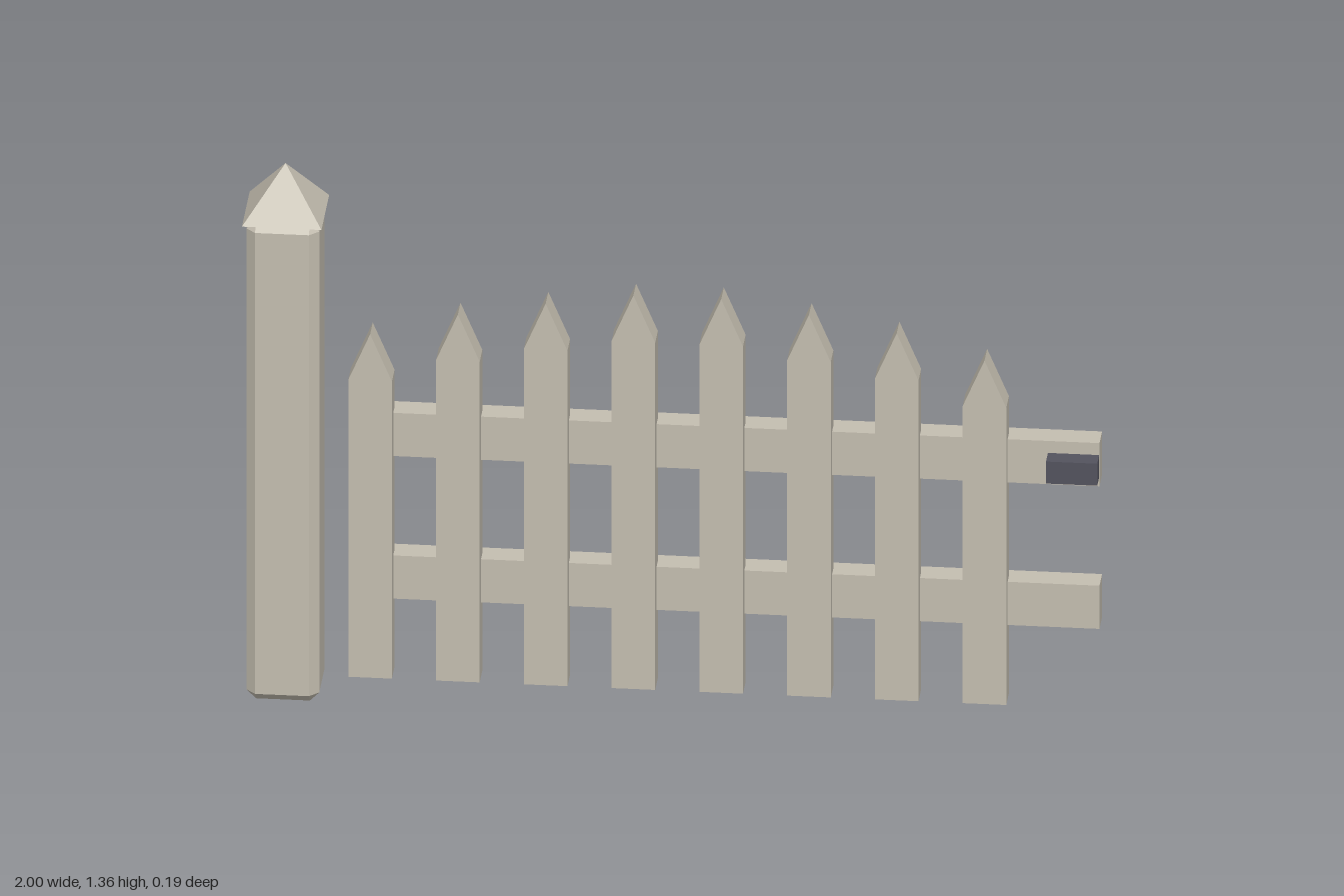
import * as THREE from 'three';
import { ConvexGeometry } from 'three/addons/geometries/ConvexGeometry.js';

const paint = new THREE.MeshStandardMaterial({ color: 0xc4beb0 });
paint.name = 'weatheredPaint';
const iron = new THREE.MeshStandardMaterial({ color: 0x53535e });
iron.name = 'darkIron';

function add(parent, name, geometry, material, x, y, z) {
  const mesh = new THREE.Mesh(geometry, material);
  mesh.name = name;
  mesh.position.set(x, y, z);
  parent.add(mesh);
  return mesh;
}

// Box with every edge cut at 45 degrees
function chamferedBox(w, h, d, c) {
  const points = [];
  for (const sx of [-1, 1]) for (const sy of [-1, 1]) for (const sz of [-1, 1]) {
    const [x, y, z] = [w / 2, h / 2, d / 2];
    points.push(
      new THREE.Vector3(sx * x, sy * (y - c), sz * (z - c)),
      new THREE.Vector3(sx * (x - c), sy * y, sz * (z - c)),
      new THREE.Vector3(sx * (x - c), sy * (y - c), sz * z));
  }
  return new ConvexGeometry(points);
}

// Pointed board, standing on its origin
function picketGeometry(width, height, point, depth) {
  const w = width / 2;
  const shape = new THREE.Shape([
    new THREE.Vector2(-w, 0), new THREE.Vector2(w, 0),
    new THREE.Vector2(w, height - point), new THREE.Vector2(0, height),
    new THREE.Vector2(-w, height - point)]);
  return new THREE.ExtrudeGeometry(shape, { depth, bevelEnabled: false });
}

// Four-sided pyramid with flat faces
function pyramid(size, height) {
  const geometry = new THREE.ConeGeometry(size * Math.SQRT1_2, height, 4, 1).toNonIndexed();
  geometry.rotateY(Math.PI / 4);
  geometry.computeVertexNormals();
  return geometry;
}

export function createModel() {
  const gate = new THREE.Group();
  gate.name = 'picketGate';

  // Post and its cap
  add(gate, 'post', chamferedBox(0.17, 1.24, 0.17, 0.022), paint, -0.907, 0.62, 0);
  add(gate, 'postCap', pyramid(0.186, 0.124), paint, -0.907, 1.299, 0);

  // Rails
  for (const [name, y] of [['lowerRail', 0.314], ['upperRail', 0.684]]) {
    add(gate, name, new THREE.BoxGeometry(1.757, 0.112, 0.062), paint, 0.1215, y, 0);
  }

  // Pickets, rising to the middle in an arch
  const tips = [0.957, 1.018, 1.056, 1.087];
  const bottom = 0.066;
  for (let i = 0; i < 8; i++) {
    const tip = tips[Math.min(i, 7 - i)];
    add(gate, 'picket' + (i + 1), picketGeometry(0.102, tip - bottom, 0.12, 0.063),
      paint, -0.703 + i * 0.2053, bottom, 0);
  }

  // Latch at the free end
  add(gate, 'latch', new THREE.BoxGeometry(0.12, 0.057, 0.046), iron, 0.94, 0.684, 0.061);

  return gate;
}
